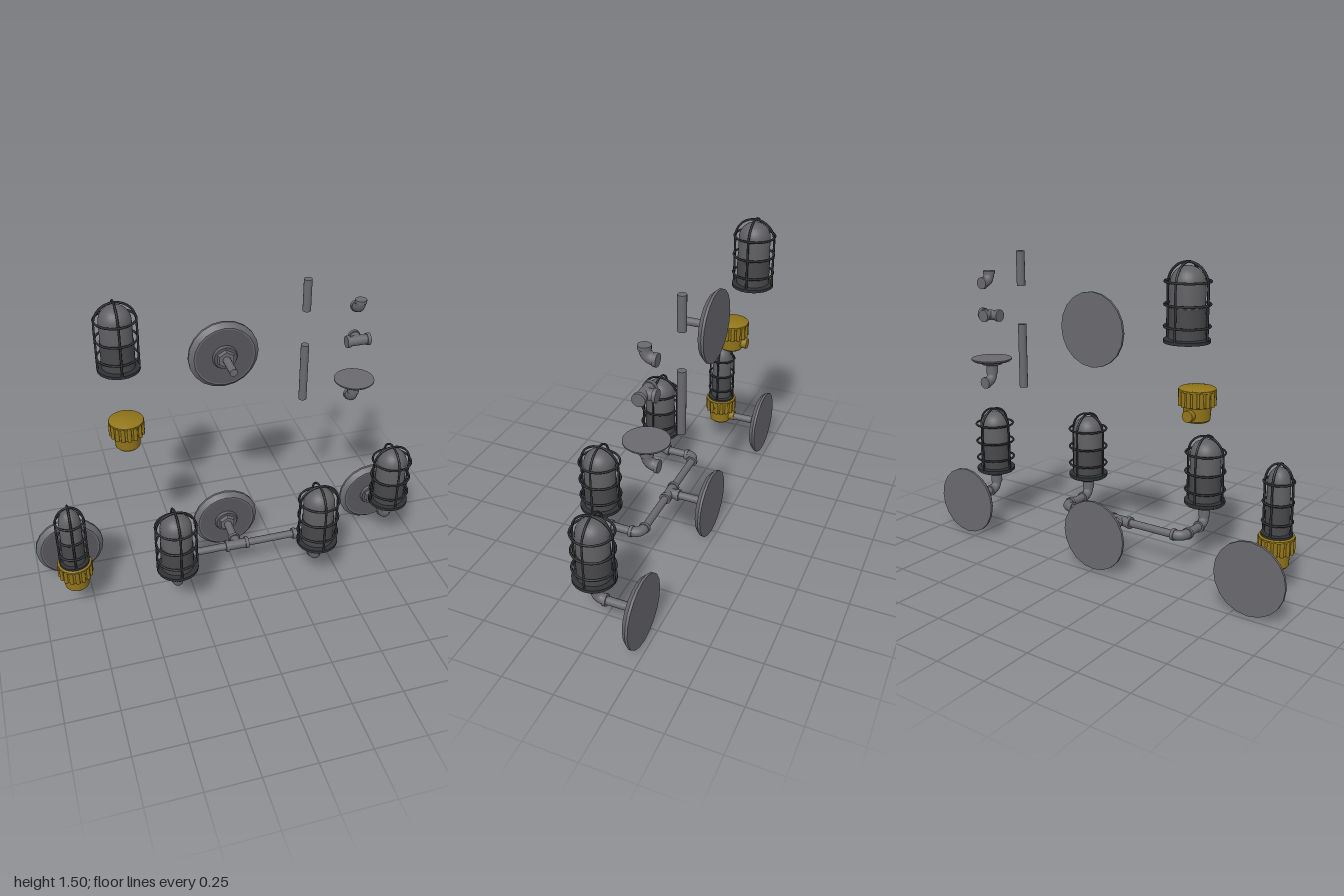
import * as THREE from 'three';
import { toCreasedNormals } from 'three/addons/utils/BufferGeometryUtils.js';

const mat = (name, color) => {
  const m = new THREE.MeshStandardMaterial({ color });
  m.name = name;
  return m;
};
const V = (x, y, z) => new THREE.Vector3(x, y, z);
const UP = V(0, 1, 0), BACK = V(0, 0, -1), FRONT = V(0, 0, 1);

export function createModel() {
  const steel = mat('pipe grey', 0x6a6a6f);
  const face = mat('plate grey', 0x57575b);
  const dark = mat('cage black', 0x2e3032);
  const glass = mat('glass grey', 0x606064);
  const lowGlass = mat('lower glass grey', 0x48484b);
  const brass = mat('brass', 0x92761a);
  const root = new THREE.Group();

  const add = (parent, name, geo, material, x = 0, y = 0, z = 0) => {
    const m = new THREE.Mesh(geo, material);
    m.name = name;
    m.position.set(x, y, z);
    parent.add(m);
    return m;
  };
  const group = (name, x, y, z, parent = root) => {
    const g = new THREE.Group();
    g.name = name;
    g.position.set(x, y, z);
    parent.add(g);
    return g;
  };
  const lathe = (pts, sides) => toCreasedNormals(
    new THREE.LatheGeometry(pts.map(p => new THREE.Vector2(...p)), sides), 0.6);

  // Straight round bar between two points
  const rod = (parent, name, a, b, r, material = steel) => {
    const d = b.clone().sub(a);
    const m = add(parent, name, new THREE.CylinderGeometry(r, r, d.length(), 16), material);
    m.position.copy(a).addScaledVector(d, 0.5);
    m.quaternion.setFromUnitVectors(UP, d.normalize());
  };

  // Bent fitting whose two arms leave the corner along d1 and d2
  const elbow = (parent, x, y, z, d1, d2) => {
    const g = group('elbow', x, y, z, parent);
    const at = (d, l) => d.clone().multiplyScalar(l);
    const path = new THREE.QuadraticBezierCurve3(at(d1, 0.05), V(0, 0, 0), at(d2, 0.05));
    add(g, 'elbowBend', new THREE.TubeGeometry(path, 10, 0.025, 14), steel);
    for (const d of [d1, d2]) rod(g, 'elbowCollar', at(d, 0.04), at(d, 0.056), 0.029);
  };

  // Three-way fitting, run along x and branch towards the back
  const tee = (parent, x, y, z) => {
    const g = group('tee', x, y, z, parent);
    rod(g, 'teeRun', V(-0.055, 0, 0), V(0.055, 0, 0), 0.025);
    for (const s of [-1, 1]) rod(g, 'teeCollar', V(s * 0.043, 0, 0), V(s * 0.06, 0, 0), 0.03);
    rod(g, 'teeBranch', V(0, 0, 0), V(0, 0, -0.05), 0.025);
    rod(g, 'teeCollar', V(0, 0, -0.04), V(0, 0, -0.056), 0.03);
  };

  // Round wall plate with bevelled rim and hexagonal boss
  const wallPlate = (parent, x, y) => {
    const g = group('wallPlate', x, y, -0.222, parent);
    add(g, 'plateRim', lathe([[0, 0], [0.172, 0], [0.172, 0.012], [0.15, 0.035], [0.142, 0.035]], 20)
      .rotateX(Math.PI / 2), steel);
    add(g, 'plateFace', new THREE.CircleGeometry(0.143, 20), face, 0, 0, 0.035);
    add(g, 'plateHub', lathe([[0.062, 0.034], [0.055, 0.048], [0, 0.048]], 20).rotateX(Math.PI / 2), face);
    const nut = new THREE.CylinderGeometry(0.04, 0.046, 0.022, 6).toNonIndexed();
    nut.computeVertexNormals();
    add(g, 'plateNut', nut.rotateX(Math.PI / 2), steel, 0, 0, 0.056);
  };

  // Disc that carries the lamp, origin at its top
  const flange = (parent, x, y, z) => add(parent, 'lampFlange', lathe([
    [0, -0.07], [0.029, -0.07], [0.029, -0.035], [0.05, -0.03], [0.06, -0.018],
    [0.092, -0.013], [0.1, -0.006], [0.1, 0], [0, 0]], 28), steel, x, y, z);

  // Domed glass in a wire cage, origin at its bottom
  const lamp = (parent, x, y, z, k = 1) => {
    const g = group('cagedLamp', x, y, z, parent);
    const R = 0.097 * k, r = 0.079 * k;
    add(g, 'lampBase', lathe([[0, 0], [R + 0.004, 0], [R + 0.004, 0.014], [r, 0.018]], 28), dark);
    add(g, 'lowerGlass', lathe([[r, 0.01], [r, 0.148], [r - 0.003, 0.148]], 28), lowGlass);
    const dome = [[r - 0.003, 0.148]];
    for (let i = 0; i <= 8; i++) {
      const a = i / 8 * Math.PI / 2;
      dome.push([Math.max(0, (r - 0.003) * Math.cos(a)), 0.245 + 0.075 * Math.sin(a)]);
    }
    add(g, 'upperGlass', lathe(dome, 28), glass);
    for (const h of [0.068, 0.16, 0.255]) {
      add(g, 'cageRing', new THREE.TorusGeometry(R, 0.0055, 6, 32).rotateX(Math.PI / 2), dark, 0, h, 0);
    }
    const pts = [V(-R, 0.005, 0), V(-R, 0.12, 0)];
    for (let i = 0; i <= 12; i++) {
      const a = Math.PI * (1 - i / 12);
      pts.push(V(R * Math.cos(a), 0.24 + 0.095 * Math.sin(a), 0));
    }
    pts.push(V(R, 0.12, 0), V(R, 0.005, 0));
    const arch = new THREE.TubeGeometry(new THREE.CatmullRomCurve3(pts), 48, 0.0055, 6);
    for (const t of [0, Math.PI / 2]) add(g, 'cageArch', arch, dark).rotation.y = t;
  };

  // Brass holder with a ribbed collar, origin at its bottom
  const holder = (parent, x, y, z) => {
    const g = group('brassHolder', x, y, z, parent);
    add(g, 'holderBody', lathe([[0, 0], [0.052, 0], [0.059, 0.008], [0.063, 0.068],
      [0.075, 0.074], [0.075, 0.134], [0.082, 0.136], [0.082, 0.146], [0.076, 0.15], [0, 0.15]], 28), brass);
    for (let i = 0; i < 16; i++) {
      const a = i / 16 * Math.PI * 2;
      add(g, 'collarRib', new THREE.CylinderGeometry(0.01, 0.01, 0.07, 8), brass,
        0.075 * Math.sin(a), 0.107, 0.075 * Math.cos(a));
    }
    rod(g, 'holderInlet', V(0, 0.036, 0), V(0, 0.036, -0.085), 0.026, brass);
  };

  const axis = 0.178, top = 0.295, wall = -0.18;

  // Wall lamp with brass holder
  const small = group('brassWallLamp', -0.826, 0, 0);
  wallPlate(small, 0, axis);
  rod(small, 'wallPipe', V(0, axis, wall), V(0, axis, -0.02), 0.02);
  holder(small, 0, 0.145, 0.04);
  lamp(small, 0, top - 0.004, 0.04, 0.7);

  // Single wall lamp
  const single = group('singleWallLamp', 0.826, 0, 0);
  wallPlate(single, 0, axis);
  rod(single, 'wallPipe', V(0, axis, wall), V(0, axis, -0.035), 0.02);
  elbow(single, 0, axis, 0.012, UP, BACK);
  flange(single, 0, top, 0.012);
  lamp(single, 0, top - 0.004, 0.012);

  // Double wall lamp
  const double = group('doubleWallLamp', 0, 0, 0);
  wallPlate(double, 0, axis);
  rod(double, 'wallPipe', V(0, axis, wall), V(0, axis, -0.03), 0.02);
  tee(double, 0, axis, 0.012);
  for (const s of [-1, 1]) {
    const x = s * 0.355;
    rod(double, 'crossPipe', V(s * 0.05, axis, 0.012), V(s * 0.32, axis, 0.012), 0.019);
    elbow(double, x, axis, 0.012, V(-s, 0, 0), FRONT);
    rod(double, 'armPipe', V(x, axis, 0.05), V(x, axis, 0.18), 0.02);
    elbow(double, x, axis, 0.216, UP, BACK);
    flange(double, x, top, 0.216);
    lamp(double, x, top - 0.004, 0.216);
  }

  // Loose parts above
  const parts = group('looseParts', 0, 0, 0);
  lamp(parts, -0.497, 1.17, -0.22);
  holder(parts, -0.497, 0.806, -0.123);
  wallPlate(parts, 0, 1.17);
  rod(parts, 'platePipe', V(0, 1.17, wall), V(0, 1.17, -0.035), 0.019);
  rod(parts, 'shortPipe', V(0.41, 1.338, -0.22), V(0.41, 1.5, -0.22), 0.02);
  rod(parts, 'longPipe', V(0.41, 0.85, -0.22), V(0.41, 1.156, -0.22), 0.02);
  elbow(parts, 0.66, 1.33, -0.168, UP, BACK);
  tee(parts, 0.66, 1.17, -0.165);
  elbow(parts, 0.66, 0.835, -0.17, UP, BACK);
  flange(parts, 0.66, 0.953, -0.17);

  return root;
}
